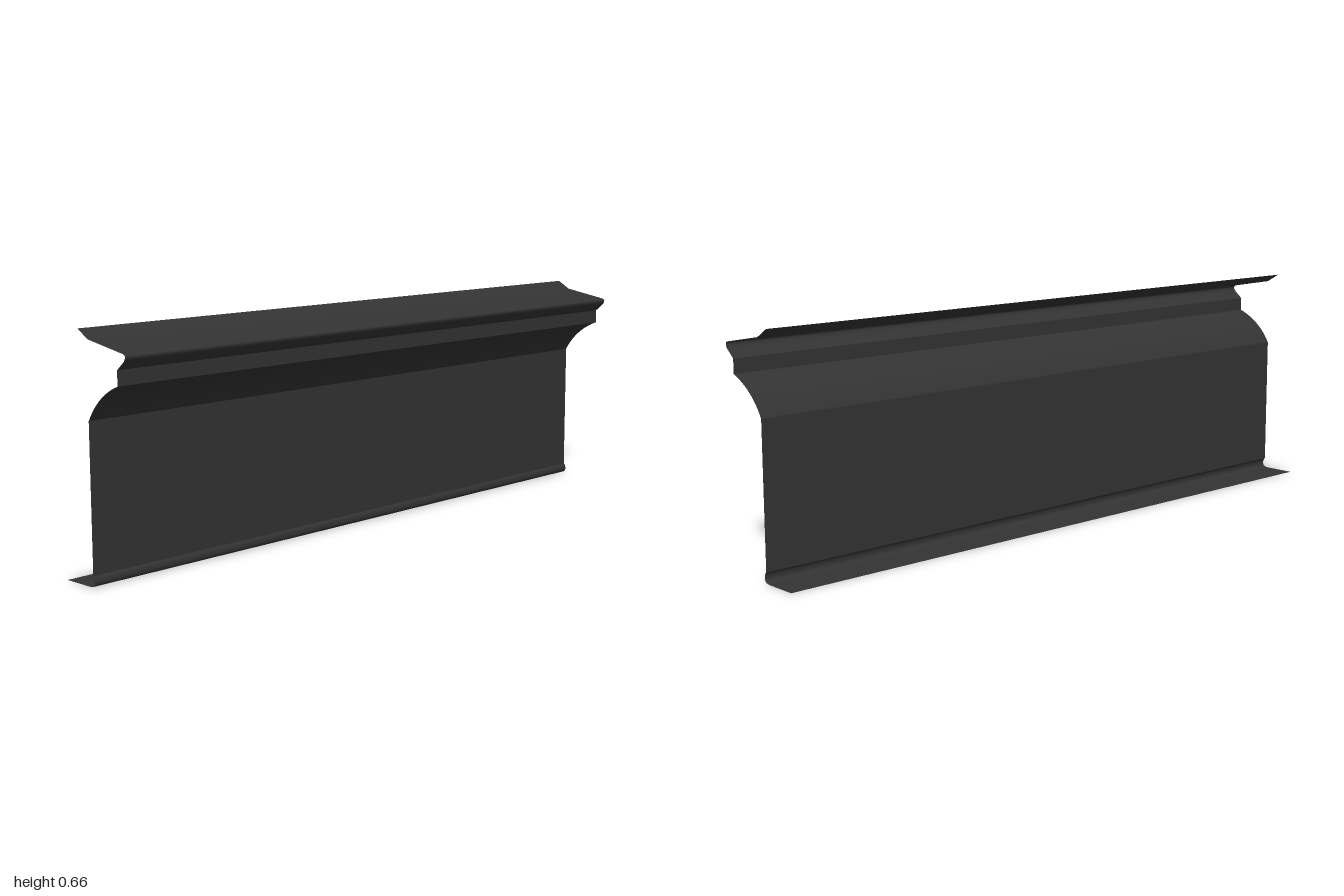
import * as THREE from 'three';

const material = new THREE.MeshStandardMaterial({ color: 0x333333, side: THREE.DoubleSide });

// Sweep an open [x, y] profile along z; the normals stay smooth within one strip.
function strip(name, points) {
  const positions = [];
  const index = [];
  points.forEach(([x, y], i) => {
    positions.push(x, y, -1, x, y, 1);
    if (i > 0) {
      const a = 2 * (i - 1);
      index.push(a, a + 2, a + 1, a + 1, a + 2, a + 3);
    }
  });
  const geometry = new THREE.BufferGeometry();
  geometry.setAttribute('position', new THREE.Float32BufferAttribute(positions, 3));
  geometry.setIndex(index);
  geometry.computeVertexNormals();
  const mesh = new THREE.Mesh(geometry, material);
  mesh.name = name;
  return mesh;
}

// Sample a quadratic curve as a list of [x, y] points.
function arc(from, control, to, segments) {
  const curve = new THREE.QuadraticBezierCurve(
    new THREE.Vector2(...from), new THREE.Vector2(...control), new THREE.Vector2(...to));
  return curve.getPoints(segments).map((p) => [p.x, p.y]);
}

export function createModel() {
  const group = new THREE.Group();
  group.name = 'gutterProfile';

  // Corners of the folded sheet, from the bottom flange to the top edge
  const flangeTip = [-0.13, 0];
  const flangeEnd = [-0.035, 0];
  const beadSide = [-0.014, 0.014];
  const wallBottom = [-0.021, 0.03];
  const wallTop = [-0.021, 0.427];
  const fasciaBottom = [0.098, 0.526];
  const fasciaTop = [0.098, 0.566];
  const lipBottom = [0.124, 0.588];
  const lipTop = [0.124, 0.607];
  const ridge = [-0.016, 0.632];
  const topTip = [-0.056, 0.656];

  group.add(
    strip('bottomFlange', [flangeTip, flangeEnd]),
    // Rounded bead at the foot of the wall
    strip('footBead', [
      ...arc(flangeEnd, [-0.014, 0], beadSide, 5),
      ...arc(beadSide, [-0.014, 0.026], wallBottom, 4).slice(1),
    ]),
    strip('wall', [wallBottom, wallTop]),
    strip('cove', arc(wallTop, [0.018, 0.496], fasciaBottom, 12)),
    strip('fascia', [fasciaBottom, fasciaTop]),
    strip('lipUnderside', [fasciaTop, lipBottom]),
    strip('lip', arc(lipBottom, [0.136, 0.602], lipTop, 6)),
    strip('topSlope', [lipTop, ridge]),
    strip('topEdge', [ridge, topTip]),
  );
  return group;
}
